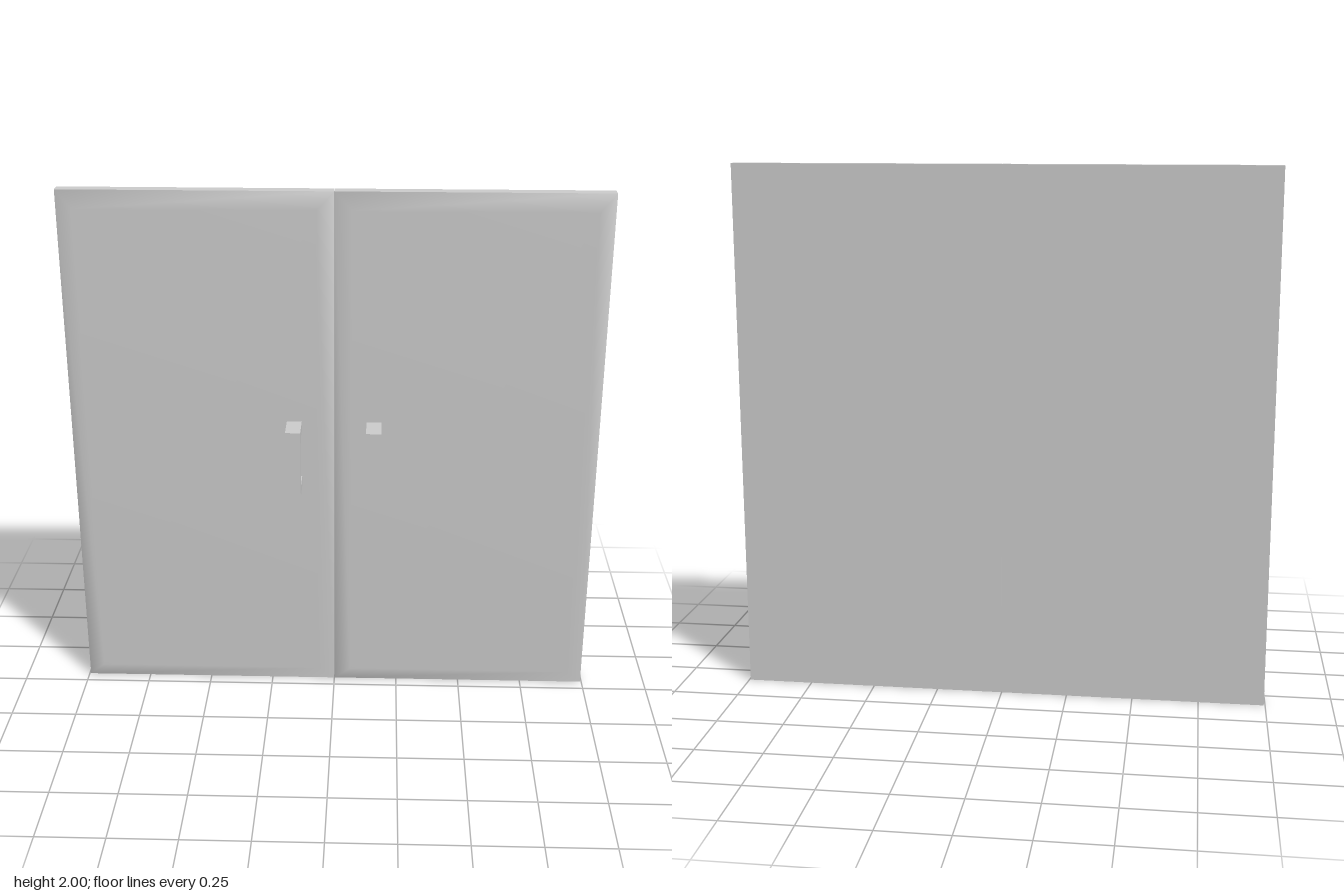
import * as THREE from 'three';
import { mergeGeometries } from 'three/addons/utils/BufferGeometryUtils.js';

const BACK = -0.095, RIM = -0.05, FACE = -0.02; // z of the panel's back, bevel edge and front
const OUTER = 0.995, GAP = 0.001, HEIGHT = 2, BEVEL = 0.063;
const WIDTH = OUTER - GAP;

// Door panel: square-edged slab with a softly shaded bevelled front
function panelGeometry() {
  const slab = new THREE.BoxGeometry(WIDTH, HEIGHT, RIM - BACK);
  slab.translate(0, HEIGHT / 2, (RIM + BACK) / 2);
  slab.deleteAttribute('uv');
  // leave the front of the slab open, the bevelled face closes it
  const index = Array.from(slab.index.array);
  index.splice(24, 6);
  slab.setIndex(index);

  const corners = [[-1, -1], [1, -1], [1, 1], [-1, 1]];
  const points = [];
  for (const [inset, z] of [[0, RIM], [BEVEL, FACE]]) {
    for (const [sx, sy] of corners) {
      points.push(sx * (WIDTH / 2 - inset), HEIGHT / 2 + sy * (HEIGHT / 2 - inset), z);
    }
  }
  const faces = [4, 5, 6, 4, 6, 7];
  for (let i = 0; i < 4; i++) {
    const j = (i + 1) % 4;
    faces.push(i, j, j + 4, i, j + 4, i + 4);
  }
  const front = new THREE.BufferGeometry();
  front.setAttribute('position', new THREE.Float32BufferAttribute(points, 3));
  front.setIndex(faces);
  front.computeVertexNormals();
  return mergeGeometries([slab, front]);
}

// Square-section pull handle, drawn in side profile (z, y) and extruded across
function handleGeometry() {
  const low = 0.873, high = 1.135, bar = 0.038, tip = 0.095, width = 0.056;
  const profile = new THREE.Shape([
    [FACE, low], [tip, low], [tip, high], [FACE, high],
    [FACE, high - bar], [tip - bar, high - bar], [tip - bar, low + bar], [FACE, low + bar],
  ].map(([z, y]) => new THREE.Vector2(z, y)));
  const geometry = new THREE.ExtrudeGeometry(profile, { depth: width, bevelEnabled: false });
  geometry.rotateY(-Math.PI / 2);
  geometry.translate(width / 2, 0, 0);
  return geometry;
}

export function createModel() {
  const model = new THREE.Group();
  model.name = 'doubleDoor';
  const material = new THREE.MeshStandardMaterial({ color: 0xcccccc });
  const panel = panelGeometry();
  const handle = handleGeometry();

  // Left and right doors, each with its handle near the middle
  for (const [side, s] of [['left', 1], ['right', -1]]) {
    const door = new THREE.Group();
    door.name = side + 'Door';
    const panelMesh = new THREE.Mesh(panel, material);
    panelMesh.name = side + 'Panel';
    panelMesh.position.x = s * (GAP + WIDTH / 2);
    const handleMesh = new THREE.Mesh(handle, material);
    handleMesh.name = side + 'Handle';
    handleMesh.position.x = s * 0.149;
    door.add(panelMesh, handleMesh);
    model.add(door);
  }
  return model;
}
